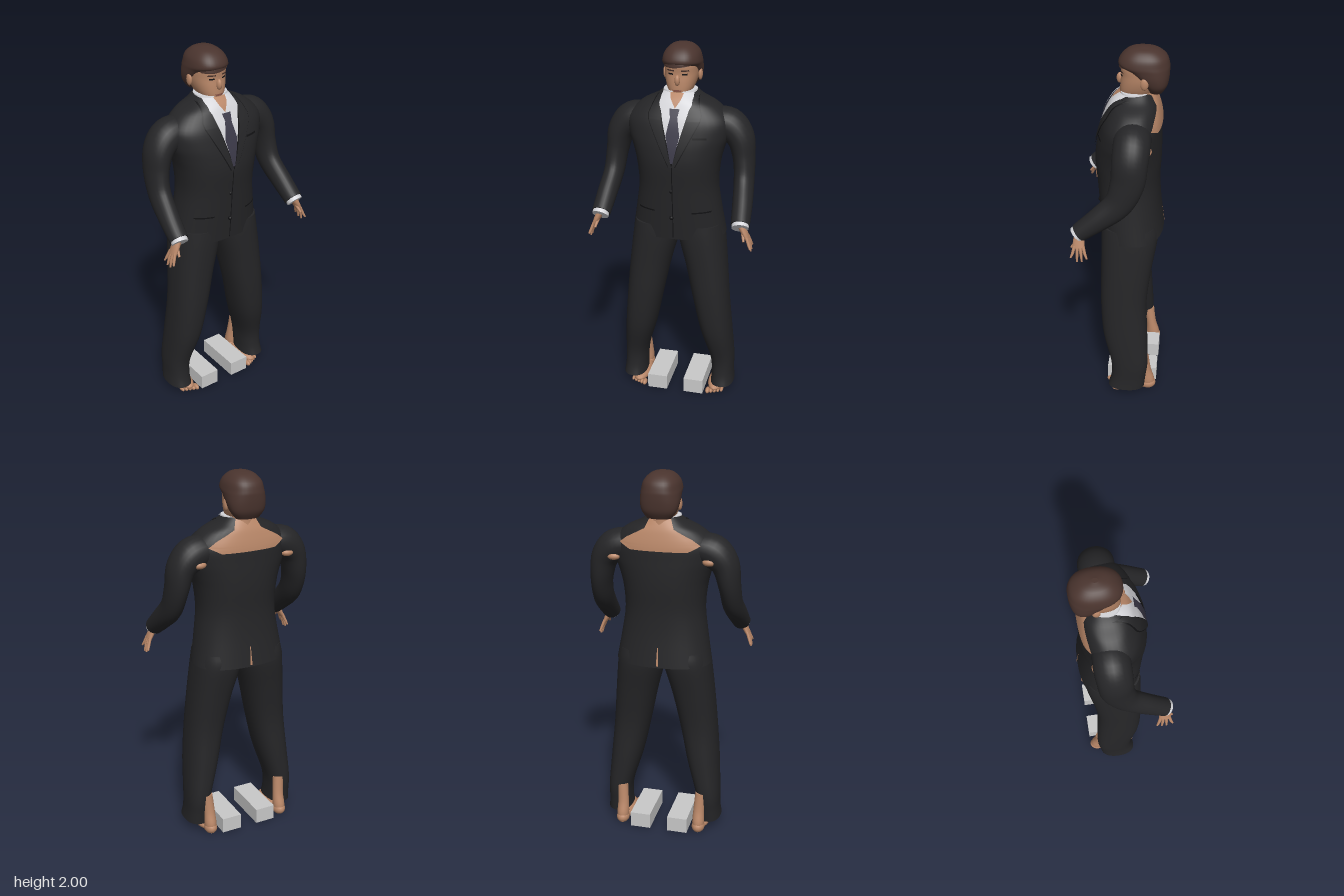
import * as THREE from 'three';

const mat = (name, color) => {
  const m = new THREE.MeshStandardMaterial({ color });
  m.name = name;
  return m;
};

// Smooth in-between rows through a short list of rows of numbers
function smoothRows(rows, steps) {
  const out = [];
  const last = rows.length - 1;
  for (let k = 0; k <= last * steps; k++) {
    const i = Math.min(Math.floor(k / steps), last - 1), t = k / steps - i;
    const [a, b, c, d] = [i - 1, i, i + 1, i + 2].map(n => rows[Math.max(0, Math.min(last, n))]);
    out.push(b.map((_, n) => 0.5 * (2 * b[n] + (c[n] - a[n]) * t +
      (2 * a[n] - 5 * b[n] + 4 * c[n] - d[n]) * t * t + (3 * b[n] - a[n] - 3 * c[n] + d[n]) * t * t * t)));
  }
  return out;
}

// Joins rings of points into a closed skin with flat caps
function skinRings(rings) {
  const n = rings[0].length, pos = [], idx = [];
  rings.forEach(r => r.forEach(p => pos.push(...p)));
  for (let i = 0; i < rings.length - 1; i++) {
    for (let j = 0; j < n; j++) {
      const a = i * n + j, b = i * n + (j + 1) % n;
      idx.push(a, b, a + n, b, b + n, a + n);
    }
  }
  [[rings[0], true], [rings[rings.length - 1], false]].forEach(([r, first]) => {
    const base = pos.length / 3;
    r.forEach(p => pos.push(...p));
    pos.push(...[0, 1, 2].map(k => r.reduce((s, p) => s + p[k], 0) / n));
    for (let j = 0; j < n; j++) {
      const a = base + j, b = base + (j + 1) % n;
      idx.push(base + n, first ? b : a, first ? a : b);
    }
  });
  return finish(pos, idx);
}

function finish(pos, idx) {
  const g = new THREE.BufferGeometry();
  g.setAttribute('position', new THREE.Float32BufferAttribute(pos, 3));
  g.setIndex(idx);
  g.computeVertexNormals();
  return g;
}

// Upright body from rows [y, centreX, halfWidth, zFront, zBack], listed top to bottom
const E = 0.85, SEG = 40;
function body(rows) {
  return skinRings(rows.map(([y, cx, rx, zf, zb]) => Array.from({ length: SEG }, (_, j) => {
    const a = j / SEG * Math.PI * 2, c = Math.cos(a), s = Math.sin(a);
    return [cx + rx * Math.sign(c) * Math.abs(c) ** E, y,
      (zf + zb) / 2 + (zf - zb) / 2 * Math.sign(s) * Math.abs(s) ** E];
  })));
}

// Limb along rows [x, y, z, radiusAcross, radiusDeep]
function limb(rows, seg = 24) {
  const P = rows.map(r => new THREE.Vector3(r[0], r[1], r[2]));
  return skinRings(rows.map((r, i) => {
    const t = P[Math.min(i + 1, P.length - 1)].clone().sub(P[Math.max(i - 1, 0)]).normalize();
    const u = new THREE.Vector3(0, 0, 1).cross(t).normalize(), v = t.clone().cross(u);
    return Array.from({ length: seg }, (_, j) => {
      const a = j / seg * Math.PI * 2;
      return P[i].clone().addScaledVector(u, r[3] * Math.cos(a)).addScaledVector(v, r[4] * Math.sin(a)).toArray();
    });
  }));
}

// Thin plate that follows a body; outline rows [y, x1, x2] top to bottom; dir 1 front, -1 back
function patch(rows, outline, off, dir = 1) {
  const N = 20, M = 10, pos = [], idx = [];
  const surface = (x, y) => {
    let i = 0;
    while (i < rows.length - 2 && rows[i + 1][0] > y) i++;
    const t = THREE.MathUtils.clamp((rows[i][0] - y) / (rows[i][0] - rows[i + 1][0]), 0, 1);
    const [, cx, rx, zf, zb] = rows[i].map((v, k) => v + (rows[i + 1][k] - v) * t);
    const q = Math.min(1, Math.abs(x - cx) / rx);
    return (zf + zb) / 2 + dir * ((zf - zb) / 2 * (1 - q ** (2 / E)) ** (E / 2) + off);
  };
  for (let i = 0; i <= N; i++) {
    const f = i / N * (outline.length - 1), k = Math.min(Math.floor(f), outline.length - 2);
    const [y, x1, x2] = outline[k].map((v, n) => v + (outline[k + 1][n] - v) * (f - k));
    for (let j = 0; j <= M; j++) {
      const x = THREE.MathUtils.lerp(Math.min(x1, x2), Math.max(x1, x2), j / M);
      pos.push(x, y, surface(x, y));
      if (i < N && j < M) {
        const a = i * (M + 1) + j, b = a + 1, c = a + M + 1, d = c + 1;
        if (dir > 0) idx.push(a, c, b, c, d, b); else idx.push(a, b, c, c, b, d);
      }
    }
  }
  return finish(pos, idx);
}

export function createModel() {
  const model = new THREE.Group();
  const suit = mat('charcoal suit', 0x252527), seam = mat('dark seam', 0x121214);
  const skin = mat('skin', 0xb98768), hair = mat('brown hair', 0x4a342e);
  const white = mat('shirt white', 0xd4d4d8), tieMat = mat('tie slate', 0x3b3948);
  const block = mat('block grey', 0xc9c9c9), lip = mat('lip', 0x8a5548);
  const add = (name, geo, m, x = 0, y = 0, z = 0) => {
    const o = new THREE.Mesh(geo, m);
    o.name = name;
    o.position.set(x, y, z);
    model.add(o);
    return o;
  };
  const blob = (name, m, x, y, z, rx, ry, rz) =>
    add(name, new THREE.SphereGeometry(1, 20, 14), m, x, y, z).scale.set(rx, ry, rz);

  // Jacket
  const torso = smoothRows([
    [1.77, 0, 0.085, 0.0, -0.15], [1.74, 0, 0.125, 0.035, -0.165], [1.70, 0, 0.205, 0.06, -0.18],
    [1.63, 0, 0.27, 0.095, -0.195], [1.55, 0, 0.265, 0.118, -0.2], [1.48, 0, 0.242, 0.132, -0.203],
    [1.40, 0, 0.222, 0.138, -0.203], [1.28, 0, 0.212, 0.128, -0.198], [1.15, 0, 0.228, 0.118, -0.205],
    [0.99, 0, 0.255, 0.105, -0.225]], 5);
  add('jacket', body(torso), suit);
  add('shirtFront', patch(torso, [[1.77, -0.08, 0.08], [1.72, -0.09, 0.09], [1.64, -0.066, 0.066], [1.43, 0, 0]], 0.004), white);
  add('throat', patch(torso, [[1.769, -0.045, 0.045], [1.7, 0, 0]], 0.006), skin);
  add('collarTop', body([[1.773, 0, 0.087, 0.008, -0.14], [1.76, 0, 0.09, 0.012, -0.14]]), white);
  add('tieKnot', patch(torso, [[1.70, -0.026, 0.026], [1.65, -0.017, 0.017]], 0.013), tieMat);
  add('tieBlade', patch(torso, [[1.66, -0.019, 0.019], [1.57, -0.036, 0.036], [1.43, -0.006, 0.006]], 0.007), tieMat);
  add('frontSeam', patch(torso, [[1.42, -0.003, 0.002], [1.0, -0.002, 0.003]], 0.003), seam);
  add('breastPocket', patch(torso, [[1.565, 0.1, 0.17], [1.555, 0.1, 0.17]], 0.004), seam);
  [1.27, 1.12].forEach(y => add('button', new THREE.SphereGeometry(0.011, 12, 8), seam, -0.006, y, 0.121));
  add('backSkin', patch(torso, [[1.768, -0.055, 0.055], [1.72, -0.075, 0.075], [1.67, -0.17, 0.17], [1.64, -0.21, 0.21], [1.61, -0.15, 0.15]], 0.009, -1), skin);
  add('backVent', patch(torso, [[1.1, -0.002, 0.002], [1.0, -0.006, 0.006]], 0.004, -1), skin);

  // Head, hair and neck
  const face = smoothRows([
    [1.96, 0, 0.06, -0.02, -0.18], [1.91, 0, 0.084, 0.008, -0.205], [1.86, 0, 0.086, 0.006, -0.21],
    [1.82, 0, 0.081, 0.01, -0.2], [1.78, 0, 0.068, 0.012, -0.17], [1.75, 0, 0.05, 0.009, -0.14],
    [1.728, 0, 0.026, -0.005, -0.09]], 4);
  add('head', body(face), skin);
  add('hair', body(smoothRows([
    [2.0, 0, 0.012, -0.09, -0.12], [1.988, 0, 0.055, -0.035, -0.175], [1.955, 0, 0.088, 0.005, -0.218],
    [1.915, 0, 0.1, 0.02, -0.232], [1.89, 0, 0.101, -0.02, -0.234], [1.85, 0, 0.099, -0.07, -0.232],
    [1.81, 0, 0.088, -0.105, -0.225], [1.775, 0, 0.062, -0.13, -0.205]], 4)), hair);
  add('fringe', patch(face, [[1.925, -0.08, 0.08], [1.905, -0.08, 0.08], [1.892, -0.078, -0.02]], 0.009), hair);
  add('neck', limb([[0, 1.82, -0.115, 0.06, 0.065], [0, 1.75, -0.11, 0.06, 0.06], [0, 1.68, -0.125, 0.075, 0.065]]), skin);
  blob('nose', skin, 0, 1.83, 0.013, 0.014, 0.028, 0.017);
  add('mouth', patch(face, [[1.781, -0.024, 0.024], [1.771, -0.018, 0.018]], 0.003), lip);

  for (const s of [1, -1]) {
    // Face details
    add('eyebrow', patch(face, [[1.882, s * 0.018, s * 0.055], [1.875, s * 0.018, s * 0.058]], 0.004), hair);
    add('eye', patch(face, [[1.864, s * 0.024, s * 0.048], [1.856, s * 0.022, s * 0.05]], 0.003), seam);
    blob('ear', skin, s * 0.092, 1.838, -0.115, 0.012, 0.032, 0.02);

    // Lapels, collar points and pocket flaps
    const lapel = d => [[1.75, s * 0.085, s * (0.105 + d)], [1.67, s * (0.072 - d), s * (0.135 + d)],
      [1.64, s * (0.064 - d), s * (0.13 + d)], [1.41, -s * d, s * (0.014 + d)]];
    add('lapelEdge', patch(torso, lapel(0.005), 0.005), seam);
    add('lapel', patch(torso, lapel(0), 0.009), suit);
    add('collarPoint', patch(torso, [[1.768, s * 0.035, s * 0.08], [1.72, s * 0.02, s * 0.085], [1.66, s * 0.05, s * 0.058]], 0.012), white);
    add('pocketFlap', patch(torso, [[1.155, s * 0.1, s * 0.195], [1.147, s * 0.1, s * 0.195]], 0.004), seam);
    blob('underarmSkin', skin, s * 0.25, 1.555, -0.142, 0.035, 0.02, 0.025);

    // Sleeve and cuff
    add('sleeve', limb(smoothRows([
      [s * 0.16, 1.615, -0.065, 0.07, 0.09], [s * 0.255, 1.595, -0.07, 0.087, 0.093],
      [s * 0.318, 1.53, -0.065, 0.073, 0.09], [s * 0.342, 1.42, -0.055, 0.058, 0.085],
      [s * 0.352, 1.31, -0.01, 0.053, 0.073], [s * 0.363, 1.22, 0.09, 0.052, 0.06],
      [s * 0.37, 1.145, 0.185, 0.049, 0.048]], 5)), suit);
    add('cuff', limb([[s * 0.37, 1.15, 0.18, 0.044, 0.043], [s * 0.372, 1.134, 0.197, 0.044, 0.043]]), white);

    // Hand with fingers
    add('palm', limb(smoothRows([[s * 0.378, 1.14, 0.18, 0.02, 0.026], [s * 0.395, 1.105, 0.183, 0.016, 0.03],
      [s * 0.41, 1.075, 0.182, 0.011, 0.032]], 3), 14), skin);
    [[0.222, 1.03], [0.19, 1.008], [0.165, 1.01], [0.14, 1.025]].forEach(([z, y], i) =>
      add('finger', limb([[s * 0.407, 1.088, 0.203 - i * 0.014, 0.008, 0.009],
        [s * 0.421, 1.05, (z + 0.203 - i * 0.014) / 2, 0.008, 0.008], [s * 0.43, y, z, 0.005, 0.005]], 10), skin));
    add('thumb', limb([[s * 0.385, 1.11, 0.19, 0.01, 0.01], [s * 0.395, 1.07, 0.222, 0.006, 0.006]], 10), skin);

    // Trouser leg
    add('trouserLeg', body(smoothRows([
      [1.06, s * 0.12, 0.118, 0.095, -0.19], [0.98, s * 0.125, 0.126, 0.1, -0.2], [0.8, s * 0.158, 0.112, 0.1, -0.172],
      [0.6, s * 0.188, 0.099, 0.1, -0.15], [0.4, s * 0.218, 0.086, 0.085, -0.158], [0.22, s * 0.25, 0.066, 0.04, -0.165],
      [0.12, s * 0.256, 0.062, 0.038, -0.155], [0.055, s * 0.258, 0.066, 0.055, -0.148]], 5)), suit);

    // Bare foot
    add('ankle', limb(smoothRows([[s * 0.225, 0.23, -0.14, 0.03, 0.03], [s * 0.218, 0.13, -0.155, 0.03, 0.028],
      [s * 0.218, 0.06, -0.165, 0.033, 0.038], [s * 0.218, 0.012, -0.165, 0.025, 0.034]], 4)), skin);
    blob('heel', skin, s * 0.218, 0.036, -0.165, 0.036, 0.036, 0.046);
    blob('foot', skin, s * 0.222, 0.032, -0.06, 0.048, 0.032, 0.115);
    for (let i = 0; i < 5; i++)
      blob('toe', skin, s * (0.187 + i * 0.019), 0.017 - i * 0.001, 0.045 - i * 0.009, 0.013 - i * 0.001, 0.016 - i * 0.001, 0.026);

    // Loose block beside the foot
    add('footBlock', new THREE.BoxGeometry(0.112, 0.085, 0.28), block, s * 0.105, 0.047, -0.07);
  }
  return model;
}
